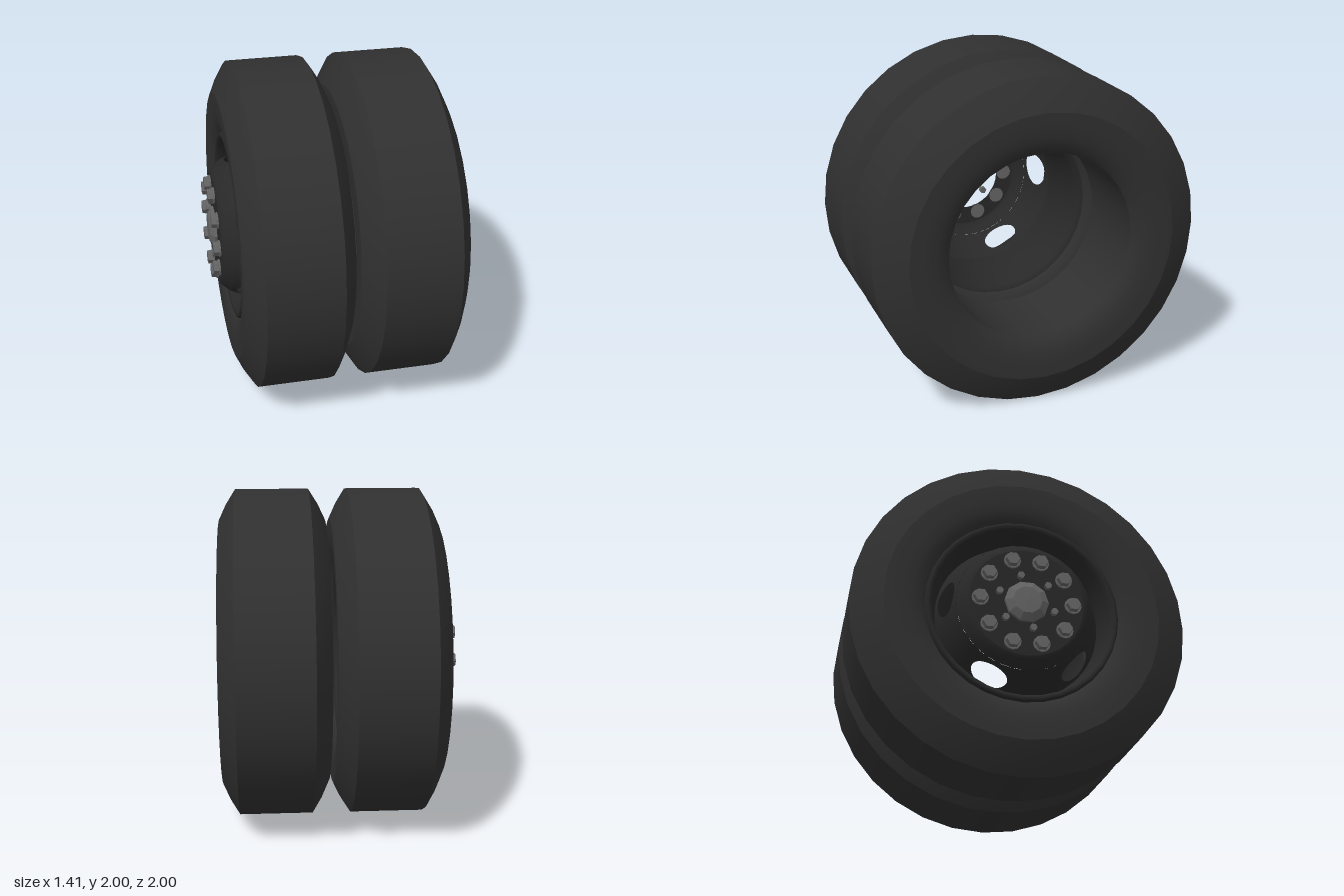
import * as THREE from 'three';
import { ParametricGeometry } from 'three/addons/geometries/ParametricGeometry.js';

const SEGMENTS = 32;
const rubber = new THREE.MeshStandardMaterial({ color: 0x303030 });
rubber.name = 'tyre rubber';
const rimPaint = new THREE.MeshStandardMaterial({ color: 0x282828, side: THREE.DoubleSide });
rimPaint.name = 'dark rim';
const flangePaint = new THREE.MeshStandardMaterial({ color: 0x282828 });
flangePaint.name = 'dark flange';
const steel = new THREE.MeshStandardMaterial({ color: 0x646464, side: THREE.DoubleSide, flatShading: true });
steel.name = 'grey steel';

function addMesh(parent, name, geometry, material) {
  const mesh = new THREE.Mesh(geometry, material);
  mesh.name = name;
  parent.add(mesh);
  return mesh;
}

// Revolves [radius, x] points around the x axis
function revolve(points, segments = SEGMENTS) {
  const profile = points.map(([r, x]) => new THREE.Vector2(r, x));
  return new THREE.LatheGeometry(profile, segments).rotateZ(-Math.PI / 2);
}

const mirrored = (points) => points.map(([r, x]) => [r, -x]).reverse();

// One tyre, built of separate bands so the tread edges stay sharp
function makeTyre(name, x) {
  const tyre = new THREE.Group();
  tyre.name = name;
  const shoulder = [[1, 0.22], [0.91, 0.276], [0.815, 0.32]];
  const sidewall = [[0.815, 0.32], [0.73, 0.32], [0.66, 0.312], [0.6, 0.292], [0.567, 0.26]];
  addMesh(tyre, 'tread', revolve([[1, -0.22], [1, 0.22]]), rubber);
  addMesh(tyre, 'bore', revolve([[0.567, 0.26], [0.567, -0.26]]), rubber);
  for (const [part, points] of [['shoulder', shoulder], ['sidewall', sidewall]]) {
    addMesh(tyre, part + 'Left', revolve(points), rubber);
    addMesh(tyre, part + 'Right', revolve(mirrored(points)), rubber);
  }
  tyre.position.x = x;
  return tyre;
}

// A fifth of the sloping disc, running from a rounded hole out to the panel edges
function slottedPanel(middleAngle) {
  return new ParametricGeometry((u, v, target) => {
    const a = u * Math.PI * 2;
    const c = Math.cos(a), s = Math.sin(a);
    const square = 1 / Math.max(Math.abs(c), Math.abs(s));
    const across = THREE.MathUtils.lerp(c * 0.4, c * square, v);
    const along = THREE.MathUtils.lerp(s * 0.72, s * square, v);
    const angle = middleAngle + across * Math.PI / 5;
    const t = (along + 1) / 2;
    const r = THREE.MathUtils.lerp(0.4, 0.492, t);
    target.set(THREE.MathUtils.lerp(-0.61, -0.4, t), r * Math.sin(angle), -r * Math.cos(angle));
  }, 40, 5);
}

// Places count copies of a bolt-like part on a circle facing -x
function boltCircle(parent, name, count, radius, x, startAngle, geometry) {
  for (let i = 0; i < count; i++) {
    const a = startAngle + i * Math.PI * 2 / count;
    addMesh(parent, name, geometry, steel)
      .position.set(x, radius * Math.sin(a), -radius * Math.cos(a));
  }
}

export function createModel() {
  const model = new THREE.Group();
  model.name = 'dualWheel';
  const wheels = new THREE.Group();
  wheels.name = 'wheelPair';
  wheels.position.y = 1;
  model.add(wheels);

  wheels.add(makeTyre('outerTyre', -0.29), makeTyre('innerTyre', 0.38));

  // Rim lip and barrel
  addMesh(wheels, 'rimBarrel', revolve([
    [0.575, -0.55], [0.572, -0.58], [0.555, -0.588], [0.538, -0.575], [0.528, -0.54],
    [0.515, -0.47], [0.492, -0.4], [0.492, -0.2], [0.525, -0.08], [0.535, -0.03], [0.568, -0.02],
  ]), rimPaint);

  // Wheel disc: raised centre and a sloping band with five slots
  const disc = new THREE.Group();
  disc.name = 'wheelDisc';
  wheels.add(disc);
  addMesh(disc, 'discFace', revolve([[0.22, -0.668], [0.335, -0.668]]), rimPaint);
  addMesh(disc, 'discShoulder', revolve([[0.335, -0.668], [0.355, -0.66], [0.375, -0.638], [0.4, -0.61]]), rimPaint);
  for (let i = 0; i < 5; i++) {
    const angle = THREE.MathUtils.degToRad(7 + i * 72);
    addMesh(disc, 'slottedPanel', slottedPanel(angle), rimPaint);
  }

  // Hub with cap, flange and bolts
  const hub = new THREE.Group();
  hub.name = 'hub';
  wheels.add(hub);
  addMesh(hub, 'hubFlange', new THREE.RingGeometry(0.12, 0.222, SEGMENTS).rotateY(-Math.PI / 2), flangePaint)
    .position.x = -0.665;
  addMesh(hub, 'hubCap', revolve([[0.132, -0.655], [0.128, -0.68], [0.085, -0.703], [0, -0.706]], 10), steel);

  const smallBolt = new THREE.CylinderGeometry(0.022, 0.022, 0.03, 6).rotateZ(Math.PI / 2);
  boltCircle(hub, 'hubBolt', 6, 0.168, -0.676, THREE.MathUtils.degToRad(18), smallBolt);

  // Ten wheel nuts on washers
  const nut = new THREE.CylinderGeometry(0.04, 0.044, 0.034, 6).rotateZ(Math.PI / 2);
  const washer = new THREE.CylinderGeometry(0.05, 0.05, 0.012, 12).rotateZ(Math.PI / 2);
  boltCircle(hub, 'nutWasher', 10, 0.272, -0.673, 0, washer);
  boltCircle(hub, 'wheelNut', 10, 0.272, -0.692, 0, nut);

  return model;
}
